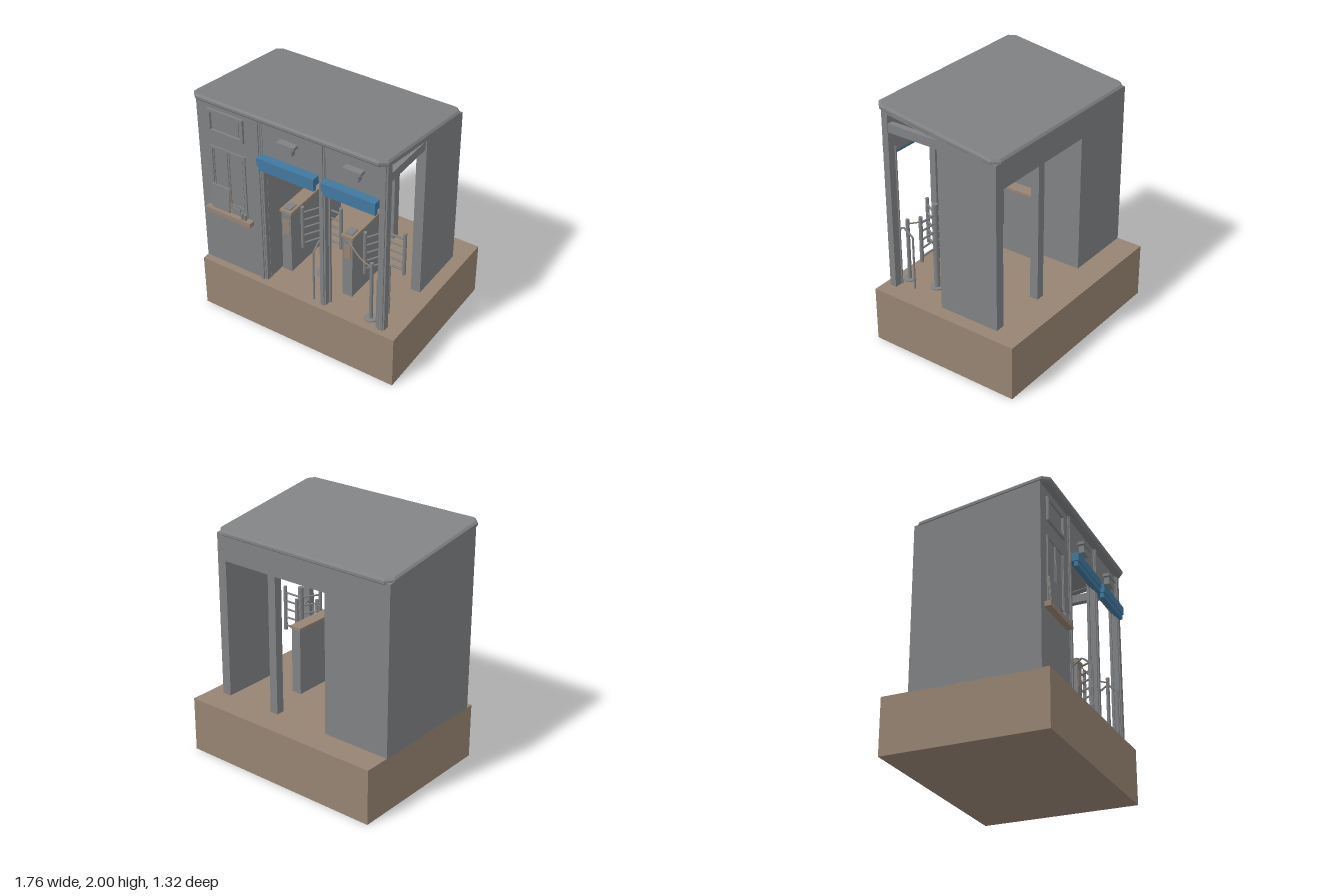
import * as THREE from 'three';

const mat = (name, color) => {
  const m = new THREE.MeshStandardMaterial({ color });
  m.name = name;
  return m;
};

export function createModel() {
  const model = new THREE.Group();
  model.name = 'turnstileStation';
  const grey = mat('grey', 0x7f8183);
  const tan = mat('tan', 0x968473);
  const blue = mat('blue', 0x41789f);
  const floor = 0.455;
  const roofY = z => 1.845 + (z + 0.44) * 0.142; // roof top height at depth z

  const add = (name, geo, material, parent = model) => {
    const m = new THREE.Mesh(geo, material);
    m.name = name;
    parent.add(m);
    return m;
  };
  // box given by its limits
  const box = (name, x0, x1, y0, y1, z0, z1, material = grey, parent = model) => {
    const m = add(name, new THREE.BoxGeometry(x1 - x0, y1 - y0, z1 - z0), material, parent);
    m.position.set((x0 + x1) / 2, (y0 + y1) / 2, (z0 + z1) / 2);
    return m;
  };
  // prism whose outline lies in the z-y plane
  const prism = (name, x0, x1, pts) => {
    const shape = new THREE.Shape(pts.map(([z, y]) => new THREE.Vector2(-z, y)));
    const geo = new THREE.ExtrudeGeometry(shape, { depth: x1 - x0, bevelEnabled: false });
    geo.rotateY(Math.PI / 2).translate(x0, 0, 0);
    return add(name, geo, grey);
  };
  // wall whose top follows the roof
  const wall = (name, x0, x1, y0, z0, z1) => prism(name, x0, x1,
    [[z0, y0], [z1, y0], [z1, roofY(z1) - 0.03], [z0, roofY(z0) - 0.03]]);

  // ground block
  box('base', -0.875, 0.88, 0, floor, -0.66, 0.65, tan);

  // sloping roof with cut corners and bevelled rim
  const b = 0.015, c = 0.045;
  const [rx0, rx1, rz0, rz1] = [-0.88 + b, 0.775 - b, -0.45 + b, 0.655 - b];
  const outline = [[rx0 + c, rz0], [rx1 - c, rz0], [rx1, rz0 + c], [rx1, rz1 - c],
    [rx1 - c, rz1], [rx0 + c, rz1], [rx0, rz1 - c], [rx0, rz0 + c]];
  const roof = new THREE.ExtrudeGeometry(
    new THREE.Shape(outline.map(([x, z]) => new THREE.Vector2(x, -z))),
    { depth: 0.02, bevelThickness: b, bevelSize: b, bevelSegments: 1 });
  roof.rotateX(-Math.PI / 2);
  const p = roof.attributes.position;
  for (let i = 0; i < p.count; i++) p.setY(i, p.getY(i) + roofY(p.getZ(i)) - 0.035);
  roof.computeVertexNormals();
  add('roof', roof, grey);

  // walls
  wall('ticketBooth', -0.875, -0.29, 0.45, -0.44, 0.59);
  wall('sideWall', 0.69, 0.77, floor, -0.44, 0.08);
  wall('backHeader', -0.29, 0.69, 1.6, -0.44, -0.37);
  wall('backPost', 0.19, 0.26, floor, -0.44, -0.37);

  // open side frame
  box('sideBeam', 0.71, 0.76, 1.78, 1.85, 0.07, 0.55);
  prism('sideRafter', 0.71, 0.77, [[0.07, 1.86], [0.55, 1.93],
    [0.55, roofY(0.55) - 0.02], [0.07, roofY(0.07) - 0.02]]);

  // front posts with narrow raised ribs
  [[-0.35, -0.305], [0.2, 0.25], [0.7, 0.765]].forEach(([x0, x1]) => {
    box('frontPost', x0, x1, floor, 1.96, 0.54, 0.595);
    box('postRib', x0 + 0.012, x1 - 0.012, floor, 1.96, 0.59, 0.605);
  });
  [[-0.305, -0.288], [0.186, 0.2], [0.25, 0.262], [0.69, 0.7]].forEach(([x0, x1]) =>
    box('doorJamb', x0, x1, floor, 1.64, 0.53, 0.55));

  // fascia, awning and lamp above each gate
  [[-0.305, 0.2], [0.25, 0.71]].forEach(([x0, x1]) => {
    box('fascia', x0, x1, 1.6, 1.96, 0.55, 0.585);
    box('awning', x0 + 0.005, x1 - 0.008, 1.57, 1.64, 0.58, 0.655, blue);
    box('awningSkirt', x0 + 0.015, x1 - 0.012, 1.53, 1.57, 0.615, 0.645, blue);
    const lx = x0 < 0 ? -0.055 : 0.5;
    box('lampBody', lx - 0.05, lx + 0.05, 1.745, 1.81, 0.58, 0.63);
    box('lampCap', lx - 0.075, lx + 0.075, 1.805, 1.83, 0.58, 0.64);
  });

  // rectangular frame on the booth front
  const frame = (name, x0, x1, y0, y1, w, z1) => {
    box(name, x0, x1, y1 - w, y1, 0.585, z1);
    box(name, x0, x1, y0, y0 + w, 0.585, z1);
    box(name, x0, x0 + w, y0, y1, 0.585, z1);
    box(name, x1 - w, x1, y0, y1, 0.585, z1);
  };
  frame('boardFrame', -0.77, -0.45, 1.675, 1.875, 0.025, 0.61);
  box('noticeBoard', -0.725, -0.495, 1.705, 1.845, 0.585, 0.597);
  frame('windowFrame', -0.77, -0.45, 0.985, 1.55, 0.02, 0.602);
  frame('leftSash', -0.745, -0.615, 1.06, 1.535, 0.008, 0.598);
  frame('rightSash', -0.605, -0.475, 1.06, 1.535, 0.008, 0.598);

  // counter with leaning board and small cups
  box('counter', -0.82, -0.4, 0.945, 0.985, 0.58, 0.64, tan);
  box('boardBacking', -0.77, -0.6, 0.988, 1.21, 0.606, 0.612, tan).rotation.x = -0.05;
  box('leaningBoard', -0.765, -0.603, 0.995, 1.208, 0.612, 0.618).rotation.x = -0.05;
  [[-0.488, 0.055], [-0.46, 0.05]].forEach(([x, h]) =>
    add('cup', new THREE.CylinderGeometry(0.012, 0.012, h, 8), grey)
      .position.set(x, 0.985 + h / 2, 0.618));
  box('ticketSlot', -0.59, -0.52, 0.985, 1.04, 0.585, 0.6);

  // gate cabinets
  [-0.235, 0.32].forEach(x => {
    box('gateCabinet', x - 0.043, x + 0.043, floor, 1.012, -0.065, 0.405);
    box('cabinetTop', x - 0.052, x + 0.052, 1.01, 1.032, -0.075, 0.415, tan);
    box('cardReader', x - 0.03, x + 0.03, 1.03, 1.043, 0.31, 0.39);
    box('cabinetPanel', x - 0.03, x + 0.03, 0.81, 0.945, 0.403, 0.409, tan);
  });

  // three-armed turnstiles
  [0.018, 0.572].forEach(x => {
    const t = new THREE.Group();
    t.name = 'turnstile';
    t.position.set(x, 0, 0.285);
    model.add(t);
    add('hub', new THREE.CylinderGeometry(0.024, 0.024, 0.735, 12), grey, t).position.y = 0.822;
    add('hubFoot', new THREE.CylinderGeometry(0.055, 0.055, 0.01, 16), grey, t).position.y = 0.46;
    for (let k = 0; k < 3; k++) {
      const arm = new THREE.Group();
      arm.name = 'turnstileArm';
      arm.rotation.y = k * Math.PI * 2 / 3;
      t.add(arm);
      for (let i = 0; i < 5; i++) {
        const bar = add('bar', new THREE.CylinderGeometry(0.008, 0.008, 0.167, 8), grey, arm);
        bar.rotation.z = Math.PI / 2;
        bar.position.set(0.083, 0.81 + i * 0.0725, 0);
      }
      add('armEnd', new THREE.CylinderGeometry(0.015, 0.015, 0.385, 8), grey, arm)
        .position.set(0.167, 0.9625, 0);
    }
  });

  // hairpin guard rails
  [0.132, 0.692].forEach(x => {
    const pts = [[0.58, floor], [0.58, 0.905], [0.5, 0.97], [0.41, 0.91], [0.41, floor]]
      .map(([z, y]) => new THREE.Vector3(x, y, z));
    const path = new THREE.CurvePath();
    for (let i = 1; i < pts.length; i++) path.add(new THREE.LineCurve3(pts[i - 1], pts[i]));
    add('guardRail', new THREE.TubeGeometry(path, 60, 0.008, 8), grey);
  });

  // rope post and sagging rope
  add('ropePost', new THREE.CylinderGeometry(0.015, 0.015, 0.535, 10), grey)
    .position.set(0.61, 0.722, 0.53);
  add('ropePostFoot', new THREE.CylinderGeometry(0.05, 0.05, 0.01, 16), grey)
    .position.set(0.61, 0.46, 0.53);
  const rope = new THREE.CatmullRomCurve3([[0.335, 1.0, 0.41], [0.4, 0.96, 0.44],
    [0.49, 0.935, 0.48], [0.61, 0.95, 0.53]].map(v => new THREE.Vector3(...v)));
  add('rope', new THREE.TubeGeometry(rope, 24, 0.006, 6), tan);

  return model;
}
